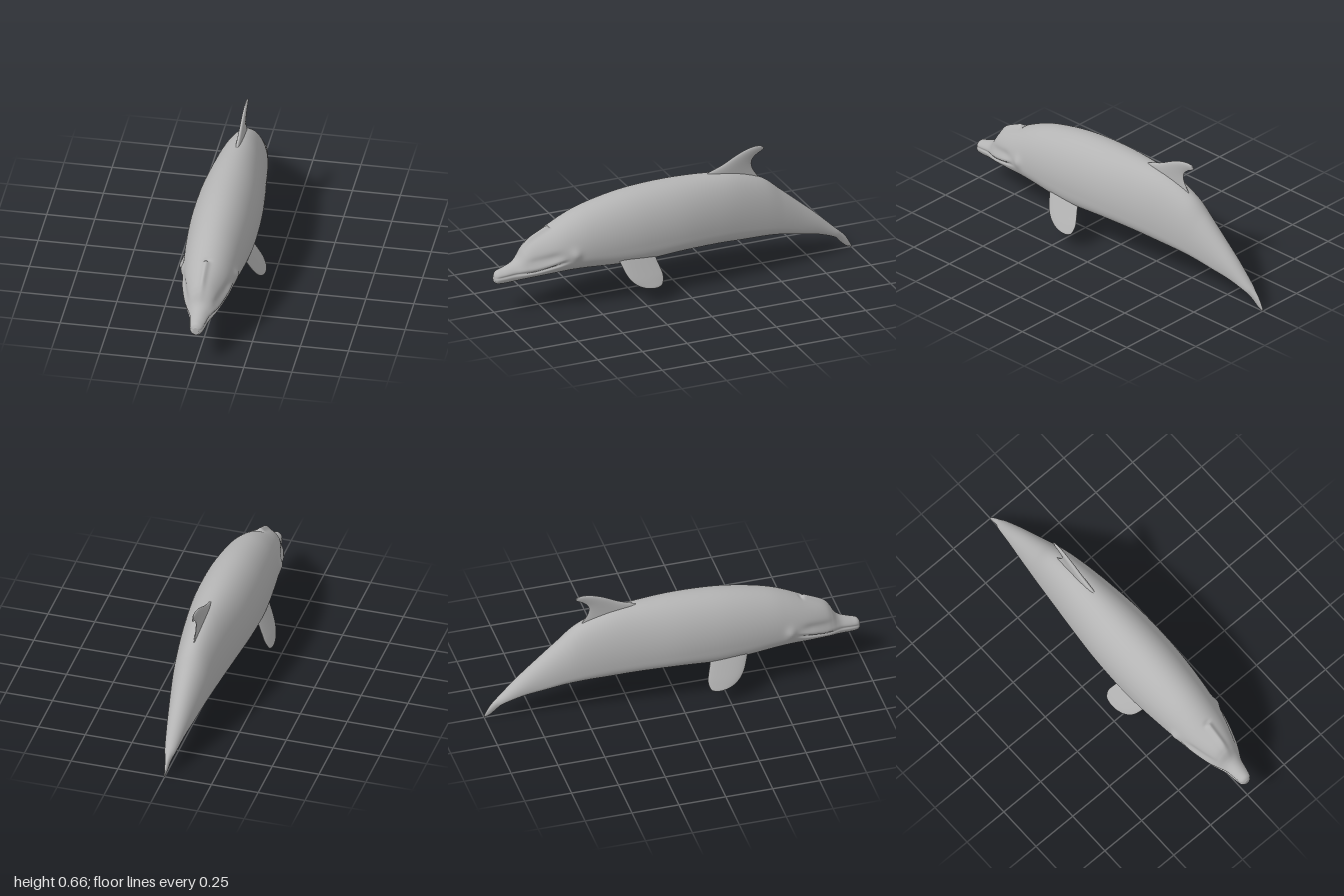
import * as THREE from 'three';

const V = (x, y, z) => new THREE.Vector3(x, y, z);
const bell = (d, w) => Math.exp(-(d * d) / (w * w));
const smooth = THREE.MathUtils.smoothstep;

// Skin a list of closed rings and close both ends with a fan.
function loft(rings) {
  const n = rings[0].length;
  const points = rings.flat();
  const index = [];
  for (let i = 0; i < rings.length - 1; i++) {
    for (let j = 0; j < n; j++) {
      const a = i * n + j, b = i * n + (j + 1) % n;
      index.push(a, b, a + n, b, b + n, a + n);
    }
  }
  [0, rings.length - 1].forEach((r, end) => {
    const centre = points.length;
    points.push(rings[r].reduce((s, p) => s.add(p), V(0, 0, 0)).divideScalar(n));
    for (let j = 0; j < n; j++) {
      const a = r * n + j, b = r * n + (j + 1) % n;
      if (end) index.push(centre, a, b);
      else index.push(centre, b, a);
    }
  });
  const geometry = new THREE.BufferGeometry().setFromPoints(points);
  geometry.setIndex(index);
  geometry.computeVertexNormals();
  return geometry;
}

// Body stations: z, top, bottom, half width, height of widest point, belly squareness
const stations = [
  [1.0, 0.212, 0.172, 0.016, 0.19, 2],
  [0.985, 0.231, 0.162, 0.032, 0.195, 2],
  [0.95, 0.242, 0.16, 0.041, 0.2, 2],
  [0.9, 0.262, 0.163, 0.05, 0.207, 2],
  [0.87, 0.287, 0.167, 0.062, 0.214, 2],
  [0.84, 0.335, 0.171, 0.076, 0.222, 2],
  [0.8, 0.372, 0.175, 0.092, 0.234, 2],
  [0.7, 0.422, 0.183, 0.121, 0.262, 2.1],
  [0.6, 0.472, 0.188, 0.138, 0.282, 2.2],
  [0.5, 0.509, 0.19, 0.151, 0.295, 2.5],
  [0.35, 0.543, 0.19, 0.164, 0.305, 3.2],
  [0.2, 0.562, 0.192, 0.17, 0.31, 3.6],
  [0.0, 0.569, 0.204, 0.166, 0.31, 3.6],
  [-0.2, 0.56, 0.2, 0.147, 0.3, 3.4],
  [-0.35, 0.54, 0.188, 0.128, 0.285, 3.2],
  [-0.5, 0.483, 0.18, 0.107, 0.255, 3.2],
  [-0.6, 0.402, 0.165, 0.09, 0.225, 3],
  [-0.7, 0.317, 0.143, 0.071, 0.19, 3],
  [-0.8, 0.23, 0.118, 0.051, 0.155, 2.8],
  [-0.9, 0.135, 0.079, 0.03, 0.1, 2.4],
  [-0.935, 0.103, 0.045, 0.017, 0.08, 2],
  [-0.97, 0.066, 0.014, 0.009, 0.045, 2],
  [-1.0, 0.014, 0.002, 0.003, 0.008, 2],
];

// Sculpted head details: mouth crease, cheek line, eyes, forehead ridge and blowhole
function sculpt(p) {
  if (p.z < 0.5) return p;
  const lip = 0.198 + (1 - p.z) * 0.15 + 0.2 * Math.max(0, 0.8 - p.z) ** 1.2;
  const along = smooth(p.z, 0.62, 0.7);
  p.x *= 1 - 0.1 * along * bell(p.y - lip, 0.006) + 0.04 * along * bell(p.y - lip - 0.018, 0.012);
  const brow = 0.305 - Math.max(0, p.z - 0.62) * 0.2;
  p.x *= 1 - 0.07 * bell(p.y - brow - 0.015, 0.02) * smooth(p.z, 0.64, 0.72) * (1 - smooth(p.z, 0.8, 0.88));
  p.x += Math.sign(p.x) * 0.013 * bell(p.z - 0.6, 0.028) * bell(p.y - 0.305, 0.03);
  if (p.y > 0.25) {
    const ridge = smooth(p.z, 0.69, 0.705) * (1 - smooth(p.z, 0.8, 0.88));
    p.y += 0.017 * ridge * bell(p.x, 0.015);
    p.y -= 0.008 * bell(p.z - 0.685, 0.008) * bell(p.x, 0.02);
  }
  return p;
}

function bodyGeometry() {
  const outline = new THREE.CatmullRomCurve3(stations.map(s => V(s[0], s[1], s[2])), false, 'catmullrom');
  const section = new THREE.CatmullRomCurve3(stations.map(s => V(s[3], s[4], s[5])), false, 'catmullrom');
  const rings = [], count = 264, sides = 112;
  for (let i = 0; i <= count; i++) {
    const o = outline.getPoint(i / count), s = section.getPoint(i / count);
    const ring = [];
    for (let j = 0; j < sides; j++) {
      const a = j / sides * Math.PI * 2, c = Math.cos(a), q = Math.sin(a);
      const e = q > 0 ? 1 : 2 / s.z;
      const x = Math.sign(c) * Math.abs(c) ** e * s.x;
      const y = q > 0 ? s.y + q * (o.y - s.y) : s.y - Math.abs(q) ** e * (s.y - o.z);
      ring.push(sculpt(V(x, y, o.x)));
    }
    rings.push(ring);
  }
  return loft(rings);
}

// Fin rows from root to tip: front z, front y, back z, back y, half thickness.
// side(y) gives the sideways offset of the blade.
function finGeometry(rows, side) {
  const front = new THREE.CatmullRomCurve3(rows.map(r => V(r[4], r[1], r[0])), false, 'catmullrom');
  const back = new THREE.CatmullRomCurve3(rows.map(r => V(r[4], r[3], r[2])), false, 'catmullrom');
  const rings = [], count = 40, sides = 32;
  for (let i = 0; i <= count; i++) {
    const f = front.getPoint(i / count), b = back.getPoint(i / count);
    const ring = [];
    for (let j = 0; j < sides; j++) {
      const a = j / sides * Math.PI * 2;
      const t = 0.5 - 0.5 * Math.cos(a);
      const y = f.y + (b.y - f.y) * t;
      const x = Math.sin(a) * f.x * (1.15 - 0.5 * t);
      ring.push(V(side(y) + x, y, f.z + (b.z - f.z) * t));
    }
    rings.push(ring);
  }
  return loft(rings);
}

export function createModel() {
  const model = new THREE.Group();
  model.name = 'dolphin';
  const skin = new THREE.MeshStandardMaterial({ color: 0xb4b4b4 });
  skin.name = 'grey skin';
  skin.side = THREE.DoubleSide;
  const add = (name, geometry) => {
    const mesh = new THREE.Mesh(geometry, skin);
    mesh.name = name;
    model.add(mesh);
  };

  add('body', bodyGeometry());

  // Swept-back dorsal fin
  add('dorsalFin', finGeometry([
    [-0.13, 0.54, -0.53, 0.43, 0.016],
    [-0.2, 0.565, -0.462, 0.52, 0.015],
    [-0.28, 0.594, -0.442, 0.565, 0.013],
    [-0.35, 0.63, -0.447, 0.598, 0.011],
    [-0.41, 0.655, -0.472, 0.622, 0.009],
    [-0.46, 0.666, -0.502, 0.638, 0.007],
    [-0.495, 0.665, -0.513, 0.65, 0.004],
  ], () => 0));

  // Paddle flippers, angled down and outwards
  const flipper = [
    [0.37, 0.265, 0.165, 0.265, 0.014],
    [0.36, 0.225, 0.16, 0.22, 0.014],
    [0.337, 0.165, 0.147, 0.175, 0.013],
    [0.312, 0.128, 0.138, 0.14, 0.012],
    [0.28, 0.102, 0.141, 0.112, 0.01],
    [0.245, 0.087, 0.152, 0.09, 0.008],
    [0.215, 0.081, 0.175, 0.08, 0.004],
  ];
  for (const [name, s] of [['leftFlipper', 1], ['rightFlipper', -1]]) {
    add(name, finGeometry(flipper, y => s * (0.146 + (0.235 - y) * 0.47)));
  }
  return model;
}
